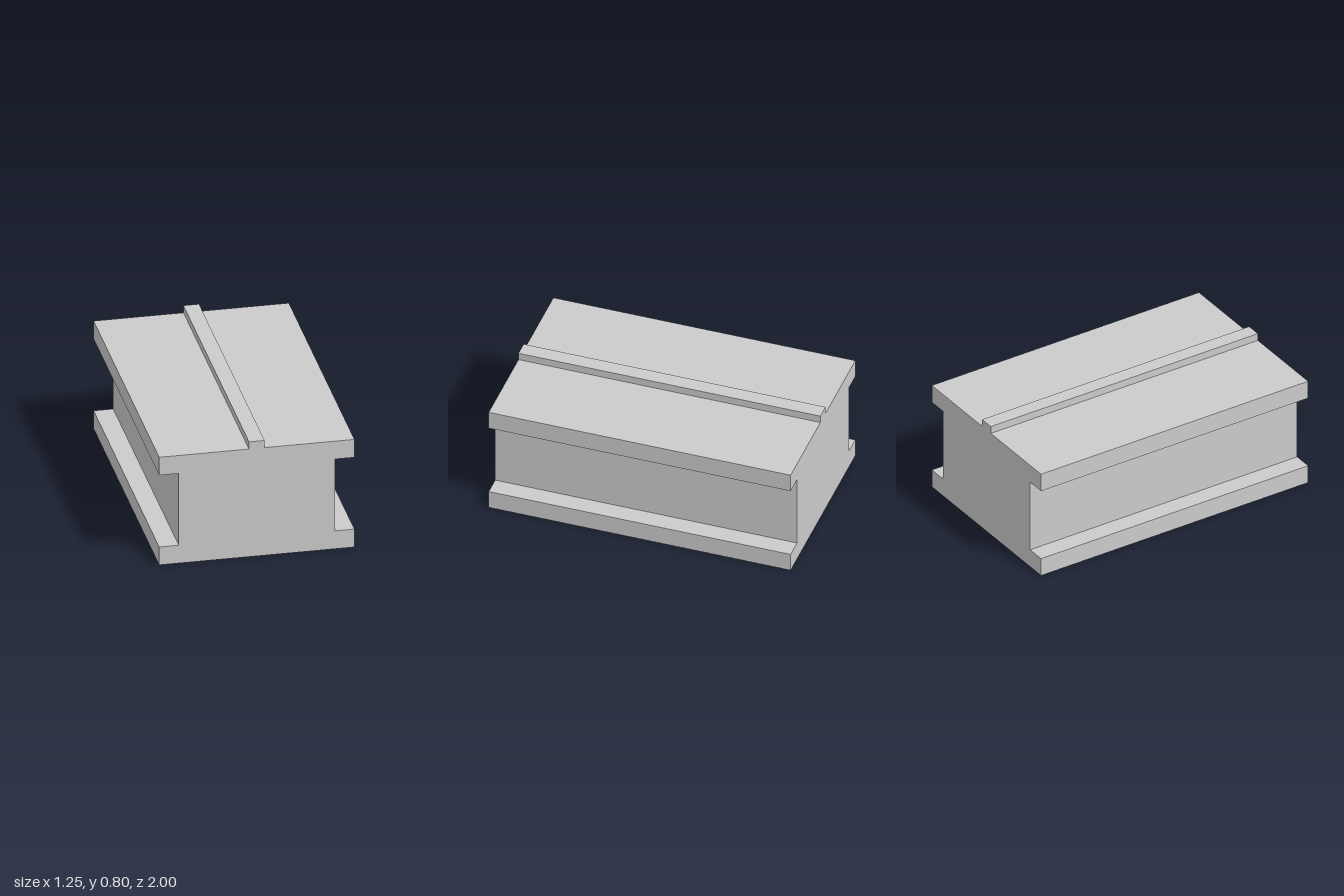
import * as THREE from 'three';

const LENGTH = 2;

export function createModel() {
  const group = new THREE.Group();
  const material = new THREE.MeshStandardMaterial({ color: 0xcccccc, flatShading: true });

  // Beam: I-shaped section with a thick web, mirrored left to right
  const half = [[0.625, 0], [0.625, 0.125], [0.5, 0.125], [0.5, 0.625], [0.625, 0.625], [0.625, 0.75]];
  const mirrored = half.map(([x, y]) => [-x, y]).reverse();
  const section = new THREE.Shape([...half, ...mirrored].map(([x, y]) => new THREE.Vector2(x, y)));
  const beamGeometry = new THREE.ExtrudeGeometry(section, { depth: LENGTH, bevelEnabled: false });
  beamGeometry.translate(0, 0, -LENGTH / 2);
  const beam = new THREE.Mesh(beamGeometry, material);
  beam.name = 'beam';
  group.add(beam);

  // Narrow rib running along the middle of the top
  const rib = new THREE.Mesh(new THREE.BoxGeometry(0.1, 0.05, LENGTH), material);
  rib.name = 'topRib';
  rib.position.y = 0.775;
  group.add(rib);

  return group;
}
